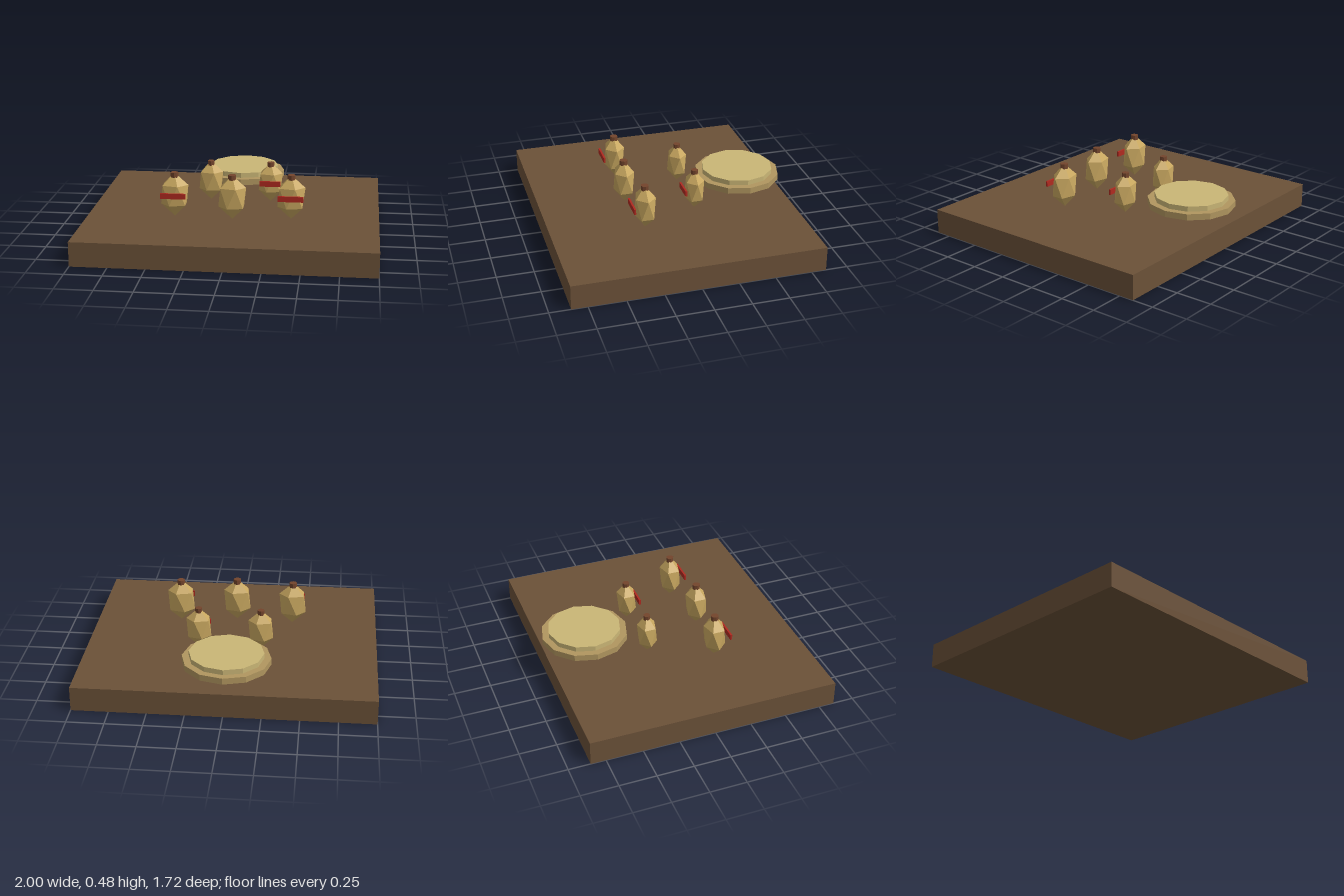
import * as THREE from 'three';
import { ConvexGeometry } from 'three/addons/geometries/ConvexGeometry.js';

const mat = (color) => new THREE.MeshStandardMaterial({ color, flatShading: true });
const wood = mat(0x6b5138), gourd = mat(0xc9a860), capBrown = mat(0x74452c);
const red = mat(0xb02a20), rimTan = mat(0xb1965f), discTan = mat(0xcab676);

function add(parent, name, geometry, material, x, y, z) {
  const mesh = new THREE.Mesh(geometry, material);
  mesh.name = name;
  mesh.position.set(x, y, z);
  parent.add(mesh);
  return mesh;
}

// Twenty-faced body: two poles and two staggered rings of five
function facetedBody(rx, ry, rz) {
  const points = [new THREE.Vector3(0, ry, 0), new THREE.Vector3(0, -ry, 0)];
  const ring = 2 / Math.sqrt(5), level = 1 / Math.sqrt(5);
  for (let i = 0; i < 10; i++) {
    const a = (i * Math.PI) / 5;
    const y = i % 2 ? -level : level;
    points.push(new THREE.Vector3(Math.cos(a) * ring * rx, y * ry, Math.sin(a) * ring * rz));
  }
  return new ConvexGeometry(points);
}

function bottle(name, x, z, large, labelled) {
  const g = new THREE.Group();
  g.name = name;
  g.position.set(x, 0, z);
  const s = large ? 1 : 0.9;
  const rx = 0.107 * s, ry = large ? 0.155 : 0.143, rz = large ? 0.08 : 0.074;
  const centre = 0.167 + ry;
  add(g, 'body', facetedBody(rx, ry, rz), gourd, 0, centre, 0);
  // Cap swallows the upper tip
  const capTop = large ? 0.479 : 0.455;
  add(g, 'cap', new THREE.CylinderGeometry(0.027 * s, 0.027 * s, 0.034, 8), capBrown, 0, capTop - 0.017, 0);
  // Label strip held just in front of the body
  if (labelled) {
    add(g, 'label', new THREE.BoxGeometry(large ? 0.172 : 0.148, 0.038, 0.013), red, 0, large ? 0.333 : 0.315, large ? 0.089 : 0.078);
  }
  return g;
}

export function createModel() {
  const model = new THREE.Group();
  model.name = 'bottleTray';

  // Slab
  add(model, 'base', new THREE.BoxGeometry(2, 0.168, 1.71), wood, 0, 0.084, 0.003);

  // Two-step disc floating over the back edge
  add(model, 'discRim', new THREE.CylinderGeometry(0.298, 0.298, 0.043, 12), rimTan, 0, 0.271, -0.566);
  add(model, 'discTop', new THREE.CylinderGeometry(0.251, 0.251, 0.038, 12), discTan, 0, 0.309, -0.566);

  // Bottles: name, x, z, large, labelled
  const bottles = [
    ['frontRightBottle', -0.4, 0.234, true, true],
    ['frontMiddleBottle', 0, 0.262, true, false],
    ['frontLeftBottle', 0.4, 0.218, true, true],
    ['backRightBottle', -0.2, -0.18, false, false],
    ['backLeftBottle', 0.228, -0.18, false, true],
  ];
  for (const b of bottles) model.add(bottle(...b));

  return model;
}
